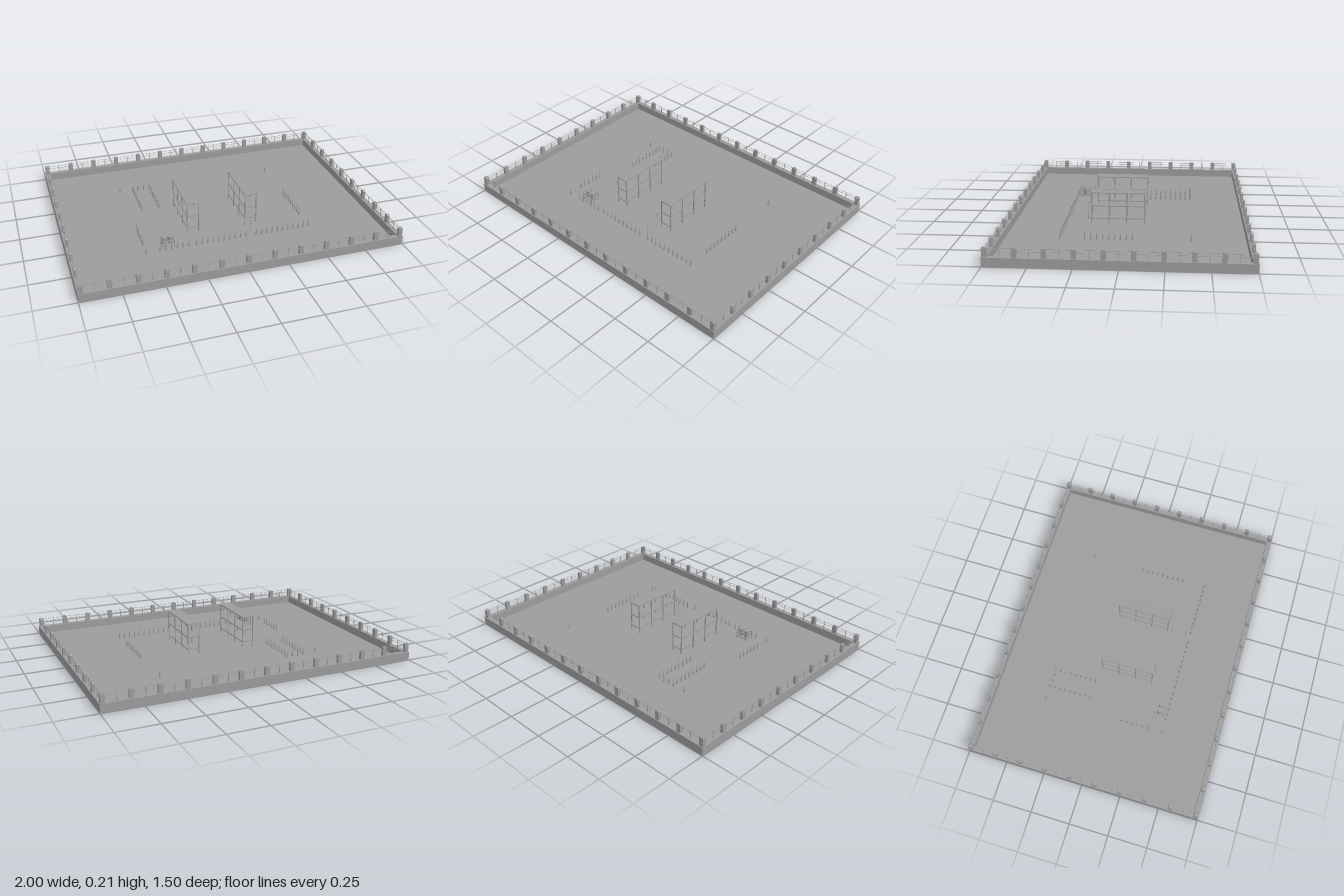
import * as THREE from 'three';

const grey = new THREE.MeshStandardMaterial({ color: 0x9b9b9b, flatShading: true });

function add(parent, name, geometry, x, y, z) {
  const mesh = new THREE.Mesh(geometry, grey);
  mesh.name = name;
  mesh.position.set(x, y, z);
  parent.add(mesh);
  return mesh;
}

function box(parent, name, w, h, d, x, y, z) {
  return add(parent, name, new THREE.BoxGeometry(w, h, d), x, y, z);
}

function group(parent, name, x = 0, z = 0) {
  const g = new THREE.Group();
  g.name = name;
  g.position.set(x, 0, z);
  parent.add(g);
  return g;
}

const HALF_X = 1, HALF_Z = 0.751, WALL_H = 0.054, WALL_T = 0.03;

// Post with chamfered top corners
const POST_W = 0.014, POST_H = 0.11, CHAMFER = 0.004, POST_D = 0.018;
const postGeometry = new THREE.ExtrudeGeometry(new THREE.Shape([
  new THREE.Vector2(-POST_W, WALL_H - 0.004),
  new THREE.Vector2(POST_W, WALL_H - 0.004),
  new THREE.Vector2(POST_W, POST_H - CHAMFER),
  new THREE.Vector2(POST_W - CHAMFER, POST_H),
  new THREE.Vector2(CHAMFER - POST_W, POST_H),
  new THREE.Vector2(-POST_W, POST_H - CHAMFER),
]), { depth: POST_D, bevelEnabled: false }).translate(0, 0, -POST_D / 2);

// One side of the boundary, built along its local x: low wall, posts, wires, balusters
function fenceSide(parent, name, length, bays) {
  const g = group(parent, name);
  box(g, 'wall', length, WALL_H, WALL_T, 0, WALL_H / 2, 0);
  const span = length - 0.036, step = span / bays;
  for (let i = 0; i <= bays; i++) {
    const x = -span / 2 + i * step;
    add(g, 'post', postGeometry, x, 0, 0);
    if (i < bays) box(g, 'baluster', 0.003, 0.052, 0.003, x + step / 2, 0.079, 0);
  }
  for (const y of [0.088, 0.104]) box(g, 'wire', span, 0.0015, 0.0015, 0, y, 0);
  return g;
}

// Rack with three boards on four pairs of legs
function rack(parent, x) {
  const g = group(parent, 'storageRack', x, 0.067);
  const w = 0.08, d = 0.342, t = 0.006;
  for (const y of [0.042, 0.123, 0.208]) box(g, 'shelfBoard', w, t, d, 0, y - t / 2, 0);
  for (let i = 0; i < 4; i++) {
    const z = -(d - t) / 2 + (i * (d - t)) / 3;
    for (const s of [-1, 1]) box(g, 'rackLeg', t, 0.205, t, s * (w - t) / 2, 0.1025, z);
  }
}

// Evenly spaced stakes from one point to another
const stakeGeometry = new THREE.ConeGeometry(0.007, 0.052, 8);
function stakeRow(parent, count, x0, z0, x1 = x0, z1 = z0) {
  for (let i = 0; i < count; i++) {
    const t = count > 1 ? i / (count - 1) : 0;
    add(parent, 'stake', stakeGeometry, x0 + (x1 - x0) * t, 0.03, z0 + (z1 - z0) * t);
  }
}

export function createModel() {
  const model = new THREE.Group();
  model.name = 'fencedYard';

  box(model, 'floor', 2 * HALF_X - 0.01, 0.005, 2 * HALF_Z - 0.01, 0, 0.0025, 0);

  // Boundary on all four sides
  for (const s of [-1, 1]) {
    const long = fenceSide(model, s > 0 ? 'frontFence' : 'backFence', 2 * HALF_X, 12);
    long.position.z = s * (HALF_Z - WALL_T / 2);
    const short = fenceSide(model, s > 0 ? 'leftFence' : 'rightFence', 2 * HALF_Z, 9);
    short.rotation.y = Math.PI / 2;
    short.position.x = s * (HALF_X - WALL_T / 2);
  }

  rack(model, -0.193);
  rack(model, 0.191);

  // Stakes marking out the inner plot
  const stakes = group(model, 'stakes');
  stakeRow(stakes, 6, -0.445, 0.391, -0.265, 0.391);
  stakeRow(stakes, 10, -0.215, 0.391, 0.107, 0.391);
  stakeRow(stakes, 11, 0.176, 0.391, 0.53, 0.391);
  stakeRow(stakes, 6, -0.532, 0.12, -0.532, 0.296);
  stakeRow(stakes, 9, 0.53, -0.046, 0.53, 0.239);
  stakeRow(stakes, 9, -0.445, -0.395, -0.445, -0.12);
  stakeRow(stakes, 9, -0.328, -0.395, -0.328, -0.12);
  stakeRow(stakes, 2, -0.406, -0.395, -0.367, -0.395);
  stakeRow(stakes, 1, -0.532, 0.391);
  stakeRow(stakes, 1, -0.532, -0.395);
  stakeRow(stakes, 1, 0.53, -0.395);

  // Slim poles near the front row
  for (const [z, h] of [[0.265, 0.125], [0.36, 0.1]])
    add(model, 'pole', new THREE.CylinderGeometry(0.0015, 0.0015, h, 6), 0.144, h / 2, z);

  // Stand carrying two drums
  const stand = group(model, 'drumStand', -0.387, 0.34);
  box(stand, 'standDeck', 0.08, 0.005, 0.066, 0, 0.02, 0);
  for (const sx of [-1, 1]) {
    add(stand, 'drum', new THREE.CylinderGeometry(0.018, 0.018, 0.045, 16), sx * 0.02, 0.045, 0);
    for (const sz of [-1, 1]) box(stand, 'standLeg', 0.005, 0.06, 0.005, sx * 0.037, 0.03, sz * 0.03);
  }
  for (const sz of [-1, 1]) box(stand, 'standRail', 0.08, 0.005, 0.005, 0, 0.05, sz * 0.03);

  return model;
}
